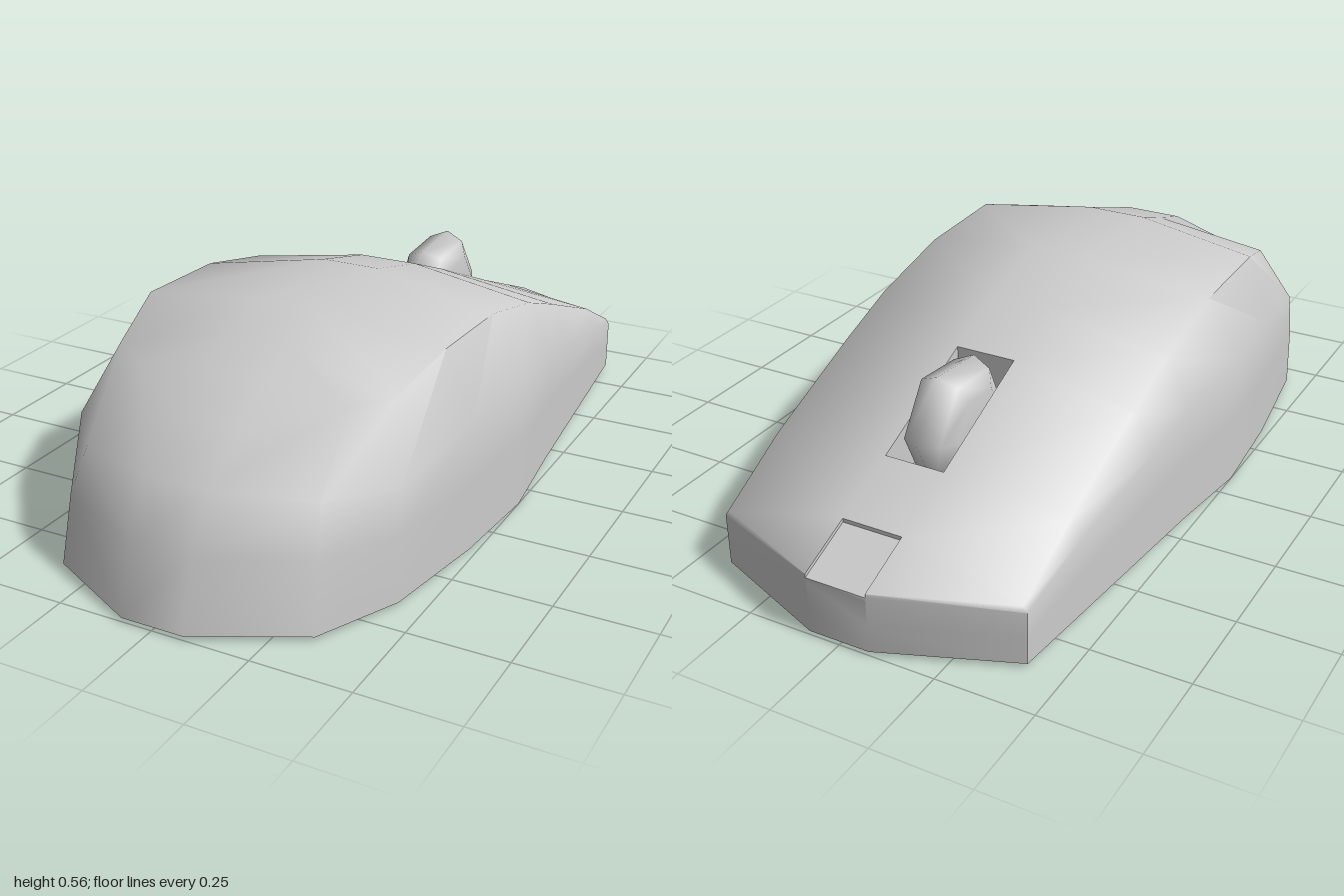
import * as THREE from 'three';
import { toCreasedNormals } from 'three/addons/utils/BufferGeometryUtils.js';

const material = new THREE.MeshStandardMaterial({ color: 0xcccccc, side: THREE.DoubleSide });
const S = 0.08; // half width of the centre strip

// Ribs of one half, heel to nose: foot, lower wall, wall top, shoulder, spine
const ribs = [
  [[S, 0.01, 1], [S, 0.18, 0.95], [S, 0.31, 0.88], [S, 0.4, 0.75], [S, 0.475, 0.63]],
  [[0.34, 0.01, 0.87], [0.33, 0.18, 0.835], [0.31, 0.29, 0.785], [0.28, 0.43, 0.6], [S, 0.475, 0.63]],
  [[0.44, 0.01, 0.66], [0.44, 0.18, 0.655], [0.435, 0.29, 0.64], [0.37, 0.455, 0.55], [S, 0.515, 0.505]],
  [[0.48, 0, 0.35], [0.48, 0.18, 0.35], [0.48, 0.34, 0.35], [0.41, 0.515, 0.36], [S, 0.56, 0.38]],
  [[0.5, 0, 0.08], [0.5, 0.18, 0.08], [0.5, 0.345, 0.08], [0.41, 0.505, 0.08], [S, 0.56, 0.05]],
  [[0.476, 0.01, -0.17], [0.476, 0.18, -0.17], [0.476, 0.32, -0.17], [0.41, 0.45, -0.17], [S, 0.505, -0.17]],
  [[0.459, 0.01, -0.35], [0.459, 0.16, -0.35], [0.459, 0.28, -0.35], [0.41, 0.385, -0.35], [S, 0.437, -0.34]],
  [[0.43, 0.01, -0.66], [0.43, 0.12, -0.66], [0.43, 0.215, -0.66], [0.405, 0.265, -0.66], [S, 0.297, -0.67]],
  [[0.41, 0.01, -0.87], [0.41, 0.08, -0.87], [0.41, 0.145, -0.87], [0.4, 0.16, -0.87], [S, 0.225, -0.85]],
  [[S, 0.01, -1], [S, 0.08, -1], [S, 0.155, -1], [S, 0.165, -1], [S, 0.165, -1]],
];
const LAST = ribs.length - 1;
const SLOT = 6, GROOVE = 8; // strip segments sunk below the shell
const drops = { [SLOT]: 0.13, [GROOVE]: 0.01 };

const mirror = (p, s) => [p[0] * s, p[1], p[2]];
const lower = (p, d) => [p[0], p[1] - d, p[2]];

// Collects quads and triangles, leaving out collapsed ones
function surface() {
  const positions = [];
  const tri = (a, b, c, flip = false) => {
    const [A, B, C] = [a, b, c].map((p) => new THREE.Vector3(...p));
    if (new THREE.Triangle(A, B, C).getArea() < 1e-6) return;
    positions.push(...a, ...(flip ? c : b), ...(flip ? b : c));
  };
  const quad = (a, b, c, d, flip = false) => {
    tri(a, b, c, flip);
    tri(a, c, d, flip);
  };
  const mesh = (name) => {
    const geometry = new THREE.BufferGeometry();
    geometry.setAttribute('position', new THREE.Float32BufferAttribute(positions, 3));
    const result = new THREE.Mesh(toCreasedNormals(geometry, 1.0), material);
    result.name = name;
    return result;
  };
  return { tri, quad, mesh };
}

function makeShell() {
  const { quad, mesh } = surface();
  // Mirrored halves
  for (const s of [1, -1]) {
    for (let j = 0; j < LAST; j++) {
      for (let i = 0; i < 4; i++) {
        const corners = [ribs[j][i], ribs[j + 1][i], ribs[j + 1][i + 1], ribs[j][i + 1]];
        quad(...corners.map((p) => mirror(p, s)), s < 0);
      }
    }
  }
  // Centre strip up the heel and down the nose
  for (let i = 0; i < 4; i++) {
    for (const j of [0, LAST]) {
      const sink = (p) => (j === LAST && p[1] > 0.15 ? lower(p, drops[GROOVE]) : p);
      const a = sink(ribs[j][i]), b = sink(ribs[j][i + 1]);
      quad(mirror(a, -1), a, b, mirror(b, -1), j === LAST);
    }
  }
  // Centre strip along the top, leaving out the sunken segments
  for (let j = 0; j < LAST; j++) {
    if (drops[j]) continue;
    const a = ribs[j][4], b = ribs[j + 1][4];
    quad(mirror(a, -1), a, b, mirror(b, -1));
  }
  return mesh('shell');
}

// Floor, side walls and end walls of a sunken strip segment
function makeRecess(name, j, openNose) {
  const { quad, mesh } = surface();
  const a = ribs[j][4], b = ribs[j + 1][4];
  const la = lower(a, drops[j]), lb = lower(b, drops[j]);
  quad(mirror(la, -1), la, lb, mirror(lb, -1));
  for (const s of [1, -1]) quad(...[a, la, lb, b].map((p) => mirror(p, s)), s > 0);
  quad(mirror(a, -1), a, la, mirror(la, -1));
  if (!openNose) quad(mirror(b, -1), b, lb, mirror(lb, -1), true);
  return mesh(name);
}

function makeBase() {
  const { tri, quad, mesh } = surface();
  const centre = [0, 0.004, 0];
  for (const s of [1, -1]) {
    for (let j = 0; j < LAST; j++) {
      tri(centre, mirror(ribs[j + 1][0], s), mirror(ribs[j][0], s), s < 0);
    }
  }
  const heel = ribs[0][0], nose = ribs[LAST][0];
  tri(centre, heel, mirror(heel, -1));
  tri(centre, mirror(nose, -1), nose);
  return mesh('base');
}

// Coarse scroll wheel with a rounded tread, axle along x
function makeWheel() {
  const profile = [[0, -0.07], [0.1, -0.07], [0.145, -0.05], [0.168, 0], [0.145, 0.05], [0.1, 0.07], [0, 0.07]]
    .map(([r, y]) => new THREE.Vector2(r, y));
  const geometry = new THREE.LatheGeometry(profile, 6, THREE.MathUtils.degToRad(55));
  const wheel = new THREE.Mesh(geometry, material);
  wheel.name = 'scrollWheel';
  wheel.rotation.z = Math.PI / 2;
  wheel.position.set(0, 0.32, -0.49);
  return wheel;
}

export function createModel() {
  const group = new THREE.Group();
  group.name = 'computerMouse';
  group.add(
    makeShell(),
    makeBase(),
    makeRecess('wheelSlot', SLOT, false),
    makeRecess('buttonGroove', GROOVE, true),
    makeWheel(),
  );
  return group;
}
